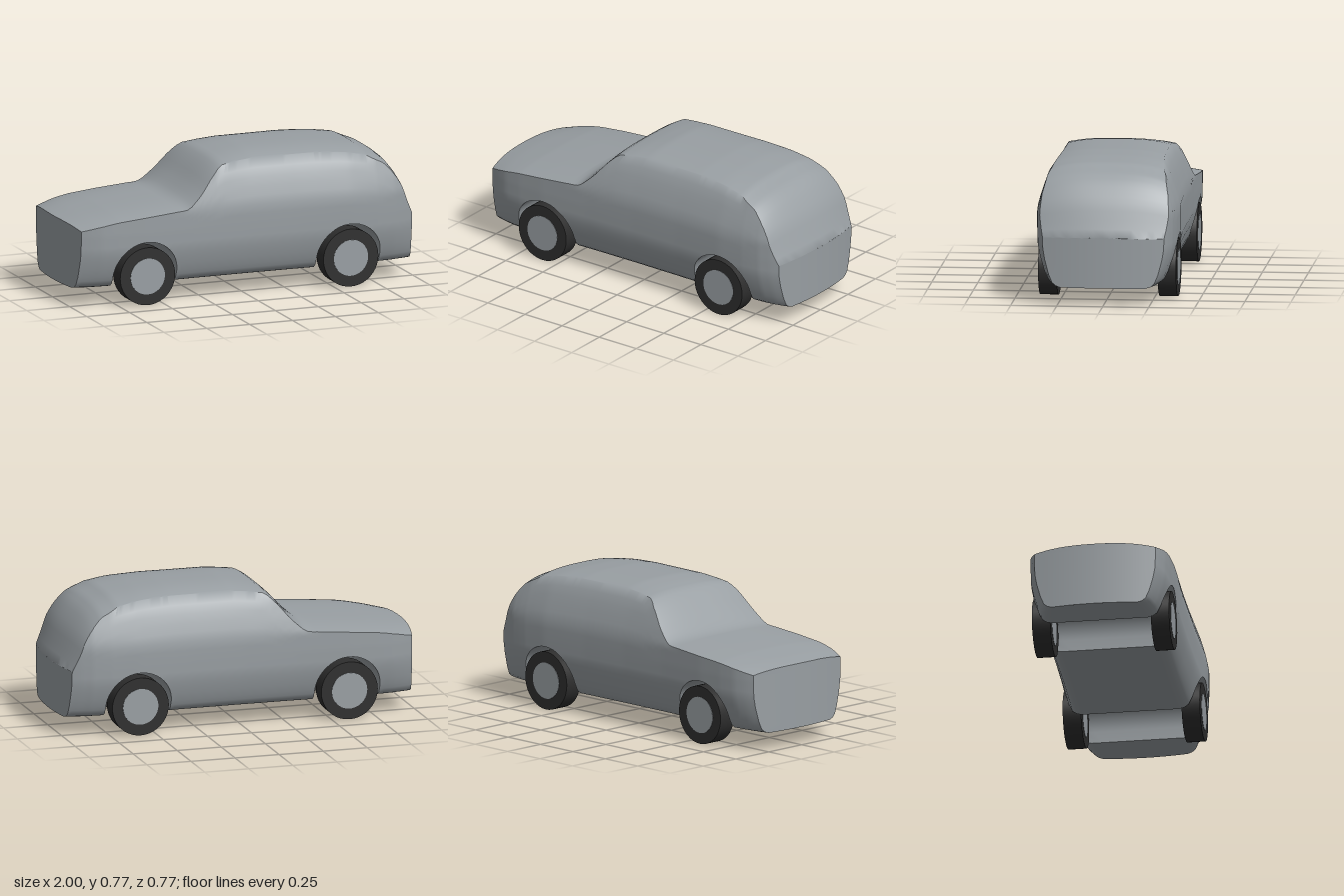
import * as THREE from 'three';
import { toCreasedNormals } from 'three/addons/utils/BufferGeometryUtils.js';

const paint = new THREE.MeshStandardMaterial({ color: 0x999fa3 });
paint.name = 'grey paint';
const rubber = new THREE.MeshStandardMaterial({ color: 0x2e2e2e });
rubber.name = 'black rubber';

const AXLES = [-0.595, 0.59];
const ARCH_R = 0.185, ARCH_Y = 0.165, FLOOR = 0.1;

// Piecewise linear curves through [position, value] pairs
const curve = (pts) => (v) => {
  if (v <= pts[0][0]) return pts[0][1];
  for (let i = 1; i < pts.length; i++) {
    const [a, p] = pts[i - 1], [b, q] = pts[i];
    if (v <= b) return p + (q - p) * (v - a) / (b - a);
  }
  return pts[pts.length - 1][1];
};

// Half width by height, plan taper by length
const widthAt = curve([[0.1, 0.27], [0.108, 0.3], [0.125, 0.323], [0.17, 0.345], [0.25, 0.37], [0.31, 0.382],
  [0.4, 0.385], [0.5, 0.385], [0.58, 0.363], [0.68, 0.328], [0.745, 0.286]]);
const taper = curve([[-1, 0.86], [-0.95, 0.905], [-0.87, 0.955], [-0.75, 0.98], [-0.6, 0.99], [-0.3, 0.97],
  [0, 0.965], [0.3, 0.975], [0.6, 1], [0.75, 0.985], [0.87, 0.955], [0.95, 0.905], [1, 0.86]]);
// Centre line of bonnet, windscreen, roof and tailgate, and the drop to the shoulder edge
const crown = curve([[-1, 0.455], [-0.9, 0.475], [-0.75, 0.498], [-0.6, 0.512], [-0.41, 0.528], [-0.37, 0.535],
  [-0.33, 0.558], [-0.27, 0.61], [-0.2, 0.688], [-0.14, 0.74], [-0.05, 0.757], [0.05, 0.77], [0.4, 0.769],
  [0.55, 0.76], [0.7, 0.742], [0.74, 0.724], [0.8, 0.7], [0.85, 0.66], [0.89, 0.612], [0.93, 0.55],
  [0.965, 0.46], [1, 0.375]]);
const drop = curve([[-1, 0.025], [-0.4, 0.025], [-0.35, 0.035], [-0.25, 0.03], [-0.14, 0.02], [0.05, 0.028],
  [0.6, 0.026], [0.72, 0.035], [0.85, 0.045], [0.95, 0.03], [1, 0.005]]);

const LOW = [0.1, 0.108, 0.125, 0.145, 0.17, 0.21, 0.25, 0.28, 0.31, 0.335, 0.36];
const UPPER = 8, TOP = 10, UNDER = 4;

// Bows the nose and tail in plan
function bow(s, y, z) {
  const w = Math.max(0, (Math.abs(s) - 0.8) / 0.2);
  return [s - Math.sign(s) * 0.036 * w * (z / 0.33) ** 2, y, z];
}

// Half section from the underside centre, up the side, to the roof centre
function halfSection(s, base) {
  const k = taper(s), c = crown(s), e = c - drop(s), out = [];
  const half = (y) => widthAt(y) * k;
  for (let i = 0; i < UNDER; i++) out.push([base, half(base) * i / UNDER]);
  for (const l of LOW) { const y = Math.max(l, base); out.push([y, half(y)]); }
  for (let i = 1; i <= UPPER; i++) { const y = 0.36 + (e - 0.36) * i / UPPER; out.push([y, half(y)]); }
  const edge = half(e);
  for (let i = 1; i <= TOP; i++) {
    const f = Math.cos(Math.PI / 2 * i / TOP);
    out.push([c - (c - e) * f ** 3, edge * f]);
  }
  return out;
}

function bodyGeometry() {
  // Stations along the length; the floor lifts over each wheel arch
  const stations = [];
  const span = (from, to, n) => {
    for (let i = 0; i <= n; i++) stations.push([from + (to - from) * i / n, FLOOR]);
  };
  const arch = (cx) => {
    for (let i = 0; i <= 24; i++) {
      const a = Math.PI * (1 - i / 24);
      stations.push([cx + ARCH_R * Math.cos(a), ARCH_Y + ARCH_R * Math.sin(a)]);
    }
  };
  span(-1, AXLES[0] - ARCH_R, 8);
  arch(AXLES[0]);
  span(AXLES[0] + ARCH_R, AXLES[1] - ARCH_R, 32);
  arch(AXLES[1]);
  span(AXLES[1] + ARCH_R, 1, 12);

  const pos = [], va = new THREE.Vector3(), vb = new THREE.Vector3(), vc = new THREE.Vector3();
  const tri = (a, b, c) => {
    va.set(...a); vb.set(...b).sub(va); vc.set(...c).sub(va);
    if (vb.cross(vc).length() > 1e-9) pos.push(...a, ...b, ...c);
  };
  const quad = (a, b, c, d) => { tri(a, b, c); tri(a, c, d); };

  // Skin
  const loops = stations.map(([s, base]) => {
    const h = halfSection(s, base);
    const mirrored = h.slice(1, -1).reverse().map(([y, z]) => [y, -z]);
    return [...h, ...mirrored].map(([y, z]) => bow(s, y, z));
  });
  for (let i = 0; i < loops.length - 1; i++) {
    const p = loops[i], q = loops[i + 1], n = p.length;
    for (let j = 0; j < n; j++) quad(p[j], q[j], q[(j + 1) % n], p[(j + 1) % n]);
  }
  // Nose and tail panels
  for (const s of [-1, 1]) {
    const rows = halfSection(s, FLOOR).slice(UNDER).map(([y, z]) =>
      Array.from({ length: 13 }, (_, k) => bow(s, y, z * (k / 6 - 1))));
    for (let j = 0; j < rows.length - 1; j++) {
      for (let k = 0; k < 12; k++) {
        const f = [rows[j][k], rows[j + 1][k], rows[j + 1][k + 1], rows[j][k + 1]];
        quad(...(s > 0 ? f : f.reverse()));
      }
    }
  }
  const g = new THREE.BufferGeometry();
  g.setAttribute('position', new THREE.Float32BufferAttribute(pos, 3));
  return toCreasedNormals(g, 0.8);
}

function makeWheel() {
  const wheel = new THREE.Group();
  const add = (name, r, len, mat) => {
    const mesh = new THREE.Mesh(new THREE.CylinderGeometry(r, r, len, 40).rotateX(Math.PI / 2), mat);
    mesh.name = name;
    wheel.add(mesh);
  };
  add('tyre', 0.16, 0.1, rubber);
  add('hub', 0.1, 0.104, paint);
  return wheel;
}

export function createModel() {
  const car = new THREE.Group();
  car.name = 'car';
  const body = new THREE.Mesh(bodyGeometry(), paint);
  body.name = 'body';
  car.add(body);
  AXLES.forEach((x, i) => {
    for (const side of [-1, 1]) {
      const wheel = makeWheel();
      wheel.name = i === 0 ? 'frontWheel' : 'rearWheel';
      wheel.position.set(x, 0.16, side * 0.325);
      car.add(wheel);
    }
  });
  return car;
}
